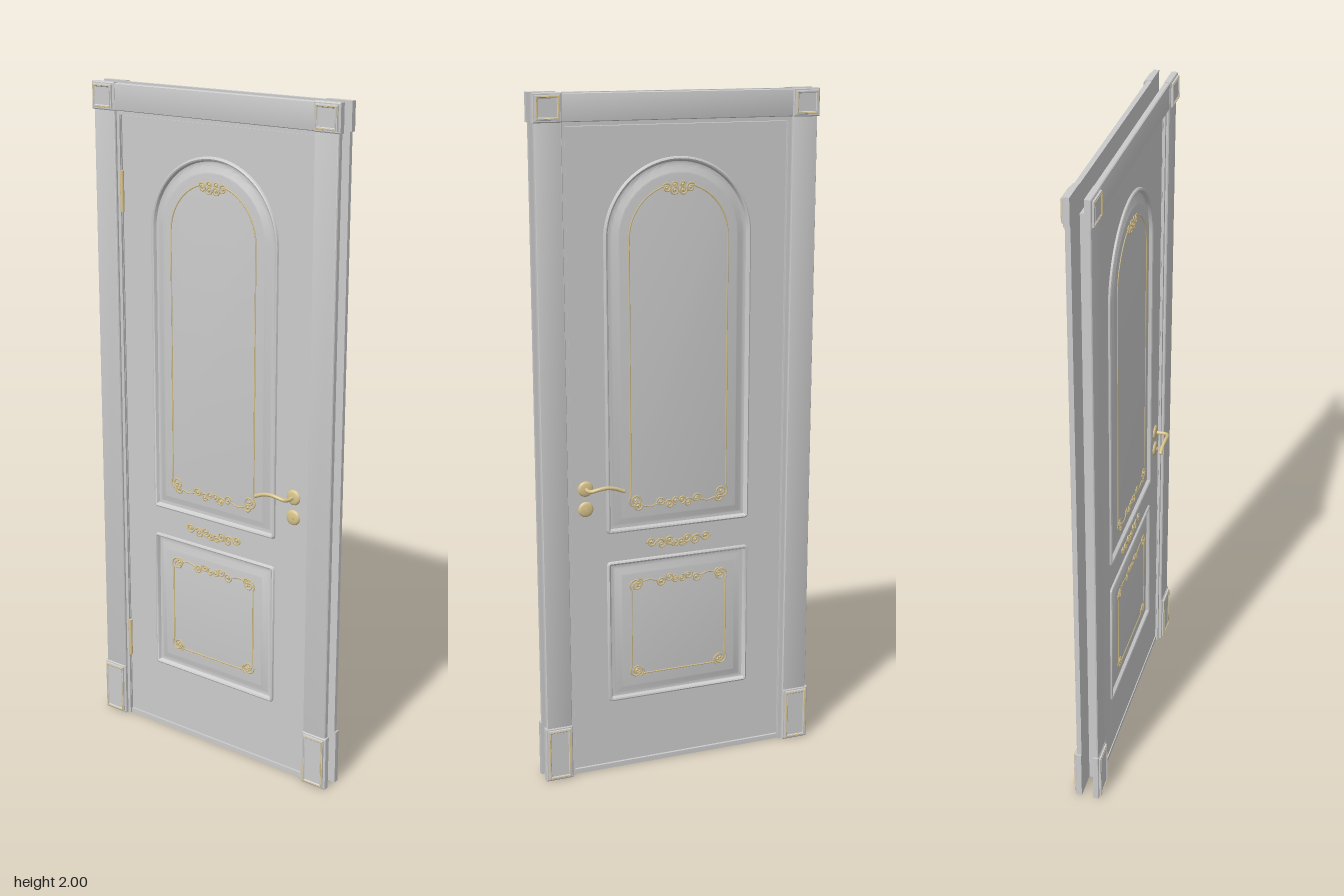
import * as THREE from 'three';
import { mergeGeometries, toCreasedNormals } from 'three/addons/utils/BufferGeometryUtils.js';

const grey = new THREE.MeshStandardMaterial({ color: 0xcccccc });
const gold = new THREE.MeshStandardMaterial({ color: 0xd8c48c });
const FACE = 0.017; // half thickness of the door leaf

function add(parent, name, geometry, material = grey) {
  const mesh = new THREE.Mesh(geometry, material);
  mesh.name = name;
  parent.add(mesh);
  return mesh;
}

function box(parent, name, x0, x1, y0, y1, z0, z1, material) {
  const mesh = add(parent, name, new THREE.BoxGeometry(x1 - x0, y1 - y0, z1 - z0), material);
  mesh.position.set((x0 + x1) / 2, (y0 + y1) / 2, (z0 + z1) / 2);
}

// Outlines: functions of an inward offset, giving counter-clockwise points
function arc(out, cx, cy, r, from, to, n) {
  for (let i = 0; i <= n; i++) {
    const a = from + (to - from) * i / n;
    out.push(new THREE.Vector2(cx + r * Math.cos(a), cy + r * Math.sin(a)));
  }
}

function rect(x0, x1, y0, y1, r = 0) {
  return o => {
    const p = [], q = Math.max(r - o, 0.001), d = o + q, h = Math.PI / 2;
    if (!r) {
      return [[x0 + o, y0 + o], [x1 - o, y0 + o], [x1 - o, y1 - o], [x0 + o, y1 - o]]
        .map(c => new THREE.Vector2(...c));
    }
    [[x0 + d, y0 + d, 2], [x1 - d, y0 + d, 3], [x1 - d, y1 - d, 0], [x0 + d, y1 - d, 1]]
      .forEach(([x, y, k]) => arc(p, x, y, q, k * h, (k + 1) * h, 4));
    return p;
  };
}

function archOutline(w, y0, spring, r) {
  return o => {
    const p = [], q = Math.max(r - o, 0.001), d = o + q, h = Math.PI / 2;
    arc(p, -w + d, y0 + d, q, 2 * h, 3 * h, 4);
    arc(p, w - d, y0 + d, q, 3 * h, 4 * h, 4);
    arc(p, 0, spring, w - o, 0, Math.PI, 40);
    return p;
  };
}

// Stacks rings of an outline along a profile of [offset, z] and caps the ends
function loft(outline, profile, capStart = true, capEnd = true) {
  const rings = profile.map(([o]) => outline(o)), n = rings[0].length;
  const pos = [], index = [];
  rings.forEach((ring, i) => ring.forEach(p => pos.push(p.x, p.y, profile[i][1])));
  for (let i = 0; i < rings.length - 1; i++) {
    for (let j = 0; j < n; j++) {
      const a = i * n + j, b = i * n + (j + 1) % n;
      index.push(a, b, b + n, a, b + n, a + n);
    }
  }
  const last = (rings.length - 1) * n;
  if (capStart) THREE.ShapeUtils.triangulateShape(rings[0], []).forEach(([a, b, c]) => index.push(a, c, b));
  if (capEnd) THREE.ShapeUtils.triangulateShape(rings[rings.length - 1], [])
    .forEach(([a, b, c]) => index.push(a + last, b + last, c + last));
  const g = new THREE.BufferGeometry();
  g.setAttribute('position', new THREE.Float32BufferAttribute(pos, 3));
  g.setIndex(index);
  return toCreasedNormals(g, 0.5);
}

function tube(points, z, r = 0.0024, steps = 40) {
  const curve = new THREE.CatmullRomCurve3(points.map(([x, y]) => new THREE.Vector3(x, y, z)));
  return new THREE.TubeGeometry(curve, steps, r, 5);
}

// Scrolls: [centre x, centre y, radius, start angle, turns], with a bead at the eye, mirrored in x
function scrolls(list, z) {
  const parts = [];
  for (const s of [1, -1]) {
    for (const [cx, cy, r, start, turns] of list) {
      const p = [];
      for (let i = 0; i <= 16; i++) {
        const t = i / 16, a = start + turns * t * Math.PI * 2, q = r * (1 - 0.75 * t);
        p.push([s * (cx + q * Math.cos(a)), cy + q * Math.sin(a)]);
      }
      parts.push(tube(p, z, 0.0026, 28));
      parts.push(new THREE.SphereGeometry(0.004, 8, 6).translate(s * cx, cy, z));
    }
  }
  return mergeGeometries(parts);
}

const upper = archOutline(0.225, 0.74, 1.595, 0.012);
const lower = rect(-0.225, 0.225, 0.215, 0.655, 0.012);
const panelProfile = [[0, FACE], [0.002, 0.022], [0.006, 0.024], [0.01, 0.022], [0.014, 0.013],
  [0.02, 0.012], [0.026, 0.013], [0.042, 0.02], [0.046, 0.021]];
const fieldZ = 0.021;

// Everything on one side of the door, apart from the handles and hinges
function buildSide() {
  const side = new THREE.Group();
  side.name = 'doorSide';
  add(side, 'upperPanel', loft(upper, panelProfile, false));
  add(side, 'lowerPanel', loft(lower, panelProfile, false));

  // Gilded outline and scrollwork of the arched panel
  const line = [];
  for (const s of [1, -1]) {
    const p = [[s * 0.15, 0.85], [s * 0.15, 1.1], [s * 0.15, 1.35]];
    for (let i = 0; i <= 10; i++) {
      const a = i / 10 * 1.28;
      p.push([s * 0.15 * Math.cos(a), 1.595 + 0.15 * Math.sin(a)]);
    }
    line.push(tube(p, fieldZ, 0.0024, 80));
    line.push(tube([[s * 0.115, 0.818], [s * 0.09, 0.812], [s * 0.068, 0.818]], fieldZ));
  }
  add(side, 'upperPanelLine', mergeGeometries(line), gold);
  add(side, 'upperPanelScrolls', scrolls([
    [0.135, 0.835, 0.021, 0.7, -1.6], [0.128, 0.818, 0.014, 3.4, 1.3],
    [0.056, 0.822, 0.014, 0, 1.4], [0.03, 0.812, 0.014, 0.4, 1.3], [0.01, 0.822, 0.012, -1.6, 1.3],
    [0.036, 1.733, 0.014, 0.6, 1.4], [0.012, 1.727, 0.013, 0, -1.4], [0.012, 1.742, 0.009, 0, 1.3]
  ], fieldZ), gold);

  // Ornament on the rail between the panels
  add(side, 'railOrnament', mergeGeometries([
    scrolls([[0.086, 0.702, 0.014, 3.6, 1.4], [0.054, 0.692, 0.016, 0.5, 1.4],
      [0.028, 0.702, 0.014, 3.4, 1.4], [0.01, 0.692, 0.013, 0, -1.4]], FACE + 0.001),
    ...[1, -1].map(s => tube([[s * 0.01, 0.684], [s * 0.035, 0.69], [s * 0.06, 0.708],
      [s * 0.082, 0.69], [s * 0.104, 0.702]], FACE + 0.001))
  ]), gold);

  // Gilded outline and scrollwork of the lower panel
  add(side, 'lowerPanelLine', mergeGeometries([
    tube([[-0.12, 0.292], [0, 0.292], [0.12, 0.292]], fieldZ),
    ...[1, -1].flatMap(s => [
      tube([[s * 0.15, 0.32], [s * 0.15, 0.43], [s * 0.15, 0.56]], fieldZ),
      tube([[s * 0.12, 0.582], [s * 0.095, 0.587], [s * 0.068, 0.58]], fieldZ)])
  ]), gold);
  add(side, 'lowerPanelScrolls', scrolls([
    [0.135, 0.305, 0.021, 0.7, -1.6], [0.128, 0.3, 0.016, 4.4, -1.3],
    [0.135, 0.573, 0.021, -0.7, 1.6], [0.128, 0.58, 0.014, 1.6, 1.3],
    [0.056, 0.577, 0.014, 0, -1.4], [0.03, 0.587, 0.013, 0.4, -1.3], [0.01, 0.578, 0.012, 1.6, -1.3]
  ], fieldZ), gold);

  // Casing boards with eased edges, and the bead inside them
  const board = [[0, 0.018], [0, 0.03], [0.002, 0.033], [0.005, 0.034]];
  add(side, 'headCasing', loft(rect(-0.346, 0.346, 1.921, 1.998), board));
  box(side, 'headBead', -0.345, 0.345, 1.91, 1.922, 0.016, 0.025);
  const block = [[0, 0.018], [0, 0.034], [0.003, 0.036], [0.006, 0.036], [0.007, 0.041], [0.009, 0.042],
    [0.013, 0.042], [0.015, 0.04]];
  for (const s of [1, -1]) {
    const span = (a, b) => s > 0 ? [a, b] : [-b, -a];
    add(side, 'sideCasing', loft(rect(...span(0.344, 0.422), 0.16, 1.925), board));
    box(side, 'sideBead', ...span(0.334, 0.345), 0, 1.922, 0.016, 0.025);
    for (const [name, y0, y1] of [['cornerBlock', 1.92, 2], ['plinthBlock', 0, 0.167]]) {
      const outline = rect(...span(0.344, 0.427), y0, y1);
      add(side, name, loft(outline, block));
      add(side, name + 'Trim', loft(outline,
        [[0.009, 0.041], [0.0095, 0.0432], [0.0115, 0.0432], [0.0125, 0.041]], false, false), gold);
    }
  }
  return side;
}

// Lever handle with rosette and key plate; s is the facing side
function buildHandle(s) {
  const handle = new THREE.Group();
  handle.name = s > 0 ? 'frontHandle' : 'backHandle';
  const plate = [[0.0005, 0.008], [0.01, 0.008], [0.016, 0.006], [0.019, 0.006], [0.022, 0.003], [0.023, 0]]
    .reverse().map(c => new THREE.Vector2(...c));
  for (const [name, y] of [['rosette', 0.885], ['keyPlate', 0.824]]) {
    const m = add(handle, name, new THREE.LatheGeometry(plate, 24), gold);
    m.rotation.x = s * Math.PI / 2;
    m.position.set(0.287, y, s * FACE);
  }
  const path = new THREE.CatmullRomCurve3([[0.287, 0.885, 0.02], [0.287, 0.885, 0.045], [0.282, 0.887, 0.057],
    [0.266, 0.892, 0.063], [0.24, 0.895, 0.064], [0.212, 0.89, 0.062], [0.187, 0.88, 0.062]]
    .map(([x, y, z]) => new THREE.Vector3(x, y, s * z)));
  add(handle, 'lever', new THREE.TubeGeometry(path, 40, 0.0055, 10), gold);
  const tip = add(handle, 'leverTip', new THREE.SphereGeometry(0.0058, 12, 8), gold);
  tip.position.set(0.187, 0.88, s * 0.062);
  const keyhole = add(handle, 'keyCylinder', new THREE.CylinderGeometry(0.006, 0.006, 0.004, 12), gold);
  keyhole.rotation.x = Math.PI / 2;
  keyhole.position.set(0.287, 0.824, s * (FACE + 0.009));
  return handle;
}

export function createModel() {
  const door = new THREE.Group();
  door.name = 'door';

  // Leaf with openings for the two panels
  const leaf = new THREE.Shape(rect(-0.331, 0.331, 0.018, 1.908)(0));
  leaf.holes.push(new THREE.Path(upper(0)), new THREE.Path(lower(0)));
  add(door, 'leaf', new THREE.ExtrudeGeometry(leaf, { depth: 2 * FACE, bevelEnabled: false })
    .translate(0, 0, -FACE));

  // Jambs, head and threshold
  box(door, 'leftJamb', 0.333, 0.345, 0, 1.92, -0.019, 0.019);
  box(door, 'rightJamb', -0.345, -0.333, 0, 1.92, -0.019, 0.019);
  box(door, 'jambHead', -0.345, 0.345, 1.91, 1.922, -0.019, 0.019);
  box(door, 'threshold', -0.334, 0.334, 0, 0.015, -0.019, 0.019);

  const front = buildSide(), back = buildSide();
  back.rotation.y = Math.PI;
  door.add(front, back, buildHandle(1), buildHandle(-1));

  // Hinges
  for (const y of [0.27, 1.69]) {
    const pin = add(door, 'hinge', new THREE.CylinderGeometry(0.006, 0.006, 0.12, 12), gold);
    pin.position.set(-0.331, y, 0.022);
  }
  return door;
}
